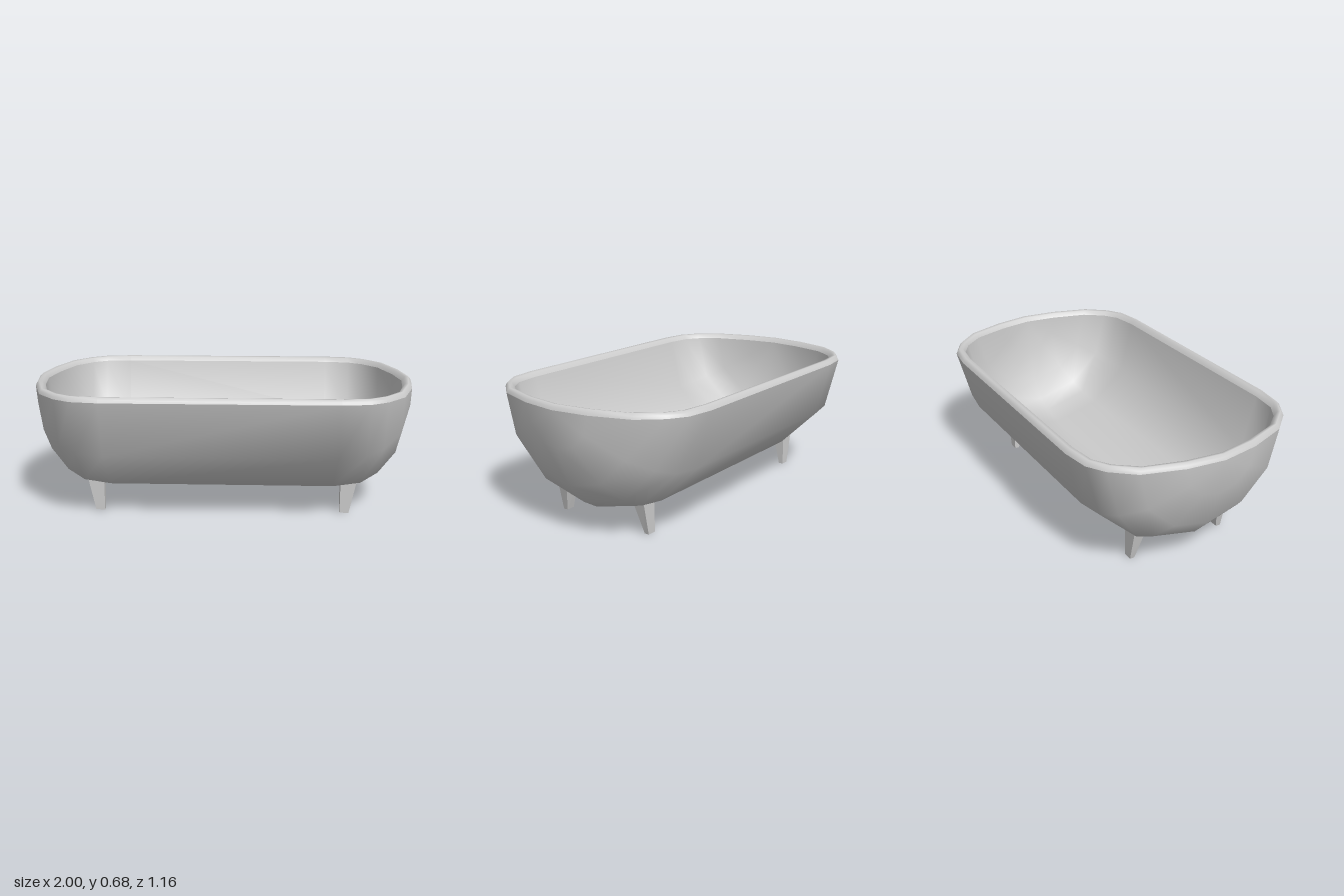
import * as THREE from 'three';
import { mergeVertices } from 'three/addons/utils/BufferGeometryUtils.js';

const RIM_Y = 0.65;

// Lengthwise stations of one end: [x, scale of the cross-section]
const END = [[0.58, 1], [0.72, 0.965], [0.81, 0.87], [0.905, 0.68], [0.973, 0.33], [1, 0]];

// Half cross-sections, [z, depth below the rim], from the rim down to the keel
const OUTER = [[0.58, 0], [0.505, 0.29], [0.29, 0.5], [0, 0.575]];
const INNER = [[0.525, 0], [0.455, 0.28], [0.26, 0.46], [0, 0.525]];

const insetEnd = ([x, s]) => [x - 0.05 * (1 - s ** 3), s];
const bothEnds = (end) => [...end.map(([x, s]) => [-x, s]).reverse(), ...end];
const bothSides = (half) => [...half, ...half.slice(0, -1).reverse().map(([z, d]) => [-z, d])];

// Smooth skin over a grid of points (rows of equal length)
function skin(rows, flip) {
  const n = rows[0].length;
  const index = [];
  for (let i = 0; i < rows.length - 1; i++) {
    for (let j = 0; j < n - 1; j++) {
      const a = i * n + j, b = a + n, c = a + 1, d = b + 1;
      if (flip) index.push(a, b, c, b, d, c);
      else index.push(a, c, b, b, c, d);
    }
  }
  let geo = new THREE.BufferGeometry();
  geo.setAttribute('position', new THREE.Float32BufferAttribute(rows.flat(2), 3));
  geo.setIndex(index);
  geo = mergeVertices(geo, 1e-4);
  geo.computeVertexNormals();
  return geo;
}

// Tub wall: the cross-section shrinks towards a point at each end of the rim
function wall(end, half, flip) {
  const section = bothSides(half);
  const rows = bothEnds(end).map(([x, s]) => section.map(([z, d]) => [x, RIM_Y - d * s, z * s]));
  return skin(rows, flip);
}

// Closed rim outline in plan
function outline(end, width) {
  const front = bothEnds(end).map(([x, s]) => [x, s * width]);
  const back = front.slice(0, -1).reverse().map(([x, z]) => [x, -z]);
  return [...front, ...back];
}

// Rounded lip joining the outer and inner walls
function rim() {
  const out = outline(END, OUTER[0][0]);
  const inn = outline(END.map(insetEnd), INNER[0][0]);
  const lip = [[0, 0], [0.13, 0.013], [0.35, 0.025], [0.7, 0.022], [1, 0]];
  const rows = out.map(([x, z], i) => lip.map(([t, h]) => [
    x + (inn[i][0] - x) * t, RIM_Y + h, z + (inn[i][1] - z) * t,
  ]));
  return skin(rows, true);
}

// Tapered foot, widening upwards; sx and sz choose the corner
function foot(sx, sz) {
  const geo = new THREE.BoxGeometry(1, 1, 1);
  const p = geo.attributes.position;
  for (let i = 0; i < p.count; i++) {
    const outX = p.getX(i) * sx > 0;
    const outZ = p.getZ(i) * sz > 0;
    const top = p.getY(i) > 0;
    const x = outX ? (top ? 0.7 : 0.665) : 0.618;
    const z = outZ ? 0.28 : (top ? 0.22 : 0.255);
    const y = top ? 0.145 + (outZ ? 0.013 : 0) + (outX ? 0.007 : 0) : 0;
    p.setXYZ(i, sx * x, y, sz * z);
  }
  geo.computeVertexNormals();
  return geo;
}

export function createModel() {
  const group = new THREE.Group();
  group.name = 'bathtub';
  const grey = new THREE.MeshStandardMaterial({ color: 0xcccccc });
  const flat = new THREE.MeshStandardMaterial({ color: 0xcccccc, flatShading: true });
  const add = (name, geo, material = grey) => {
    const mesh = new THREE.Mesh(geo, material);
    mesh.name = name;
    group.add(mesh);
  };

  add('outerWall', wall(END, OUTER, false));
  add('innerWall', wall(END.map(insetEnd), INNER, true));
  add('rim', rim());

  for (const sx of [-1, 1]) {
    for (const sz of [-1, 1]) {
      add(`${sz > 0 ? 'front' : 'back'}${sx > 0 ? 'Left' : 'Right'}Foot`, foot(sx, sz), flat);
    }
  }
  return group;
}
